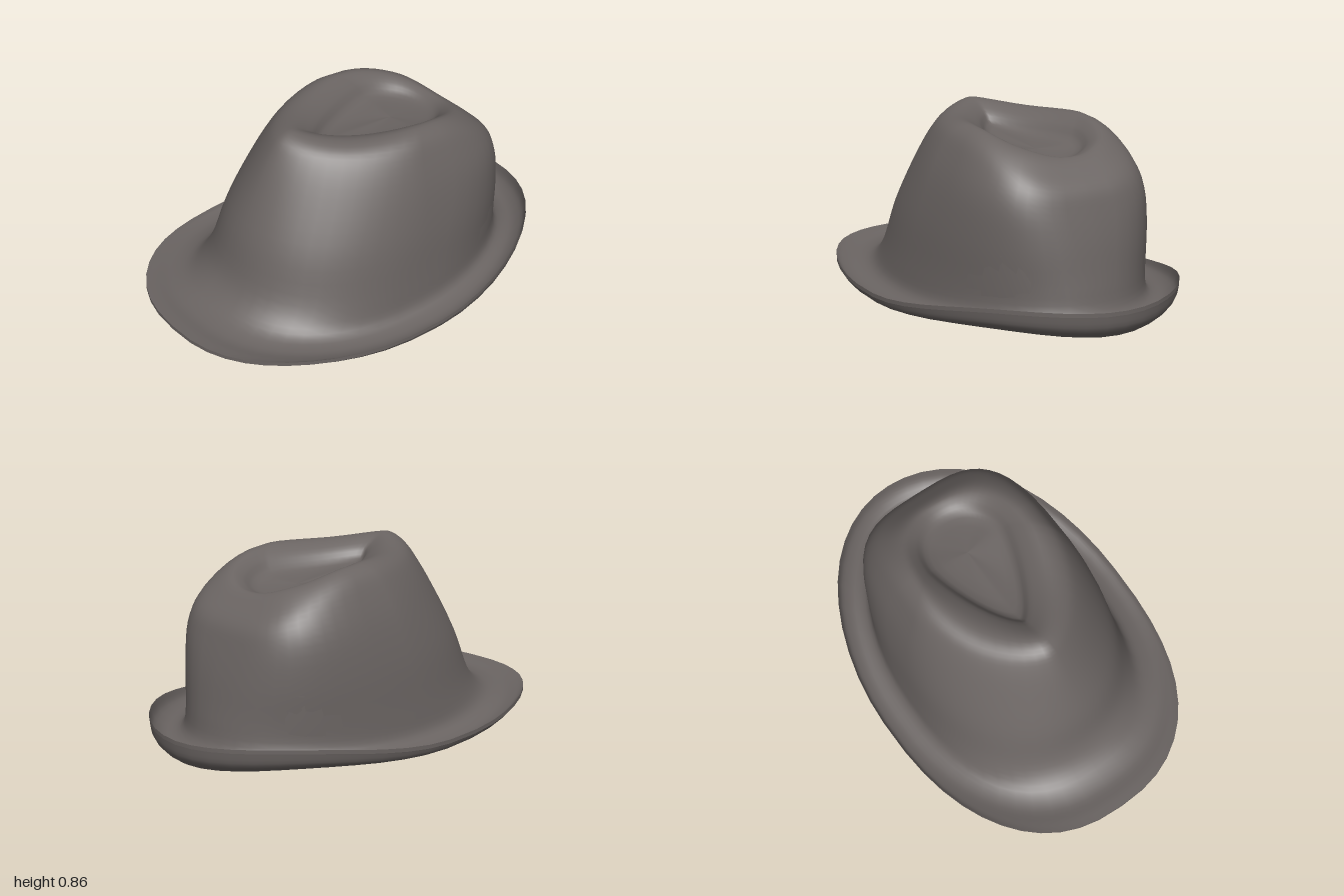
import * as THREE from 'three';

const SEG = 48, SUB = 4, THICK = 0.018;

// Each ring: front z, back z, half width, z of widest point, squareness of front and back halves,
// then heights at front, front quarter, side, back quarter, back.
const RINGS = [
  [0.995, -1.0, 0.695, 0, 2.4, 2, 0.1, 0.1, 0.06, 0.142, 0.135],          // brim edge
  [0.945, -0.984, 0.677, 0, 2.4, 2, 0.095, 0.084, 0.031, 0.085, 0.07],    // rolled brim
  [0.86, -0.92, 0.62, 0, 2.4, 2, 0.085, 0.066, 0.021, 0.05, 0.024],       // brim trough
  [0.76, -0.83, 0.55, 0, 2.4, 2.1, 0.115, 0.09, 0.055, 0.075, 0.07],      // foot of crown
  [0.67, -0.8, 0.528, -0.02, 2.25, 2.2, 0.21, 0.19, 0.16, 0.18, 0.19],
  [0.6, -0.765, 0.5, -0.06, 2.05, 2.6, 0.42, 0.4, 0.38, 0.36, 0.36],
  [0.5, -0.725, 0.457, -0.1, 1.83, 3.1, 0.63, 0.6, 0.57, 0.54, 0.5],
  [0.42, -0.69, 0.405, -0.12, 1.65, 3.2, 0.775, 0.745, 0.71, 0.645, 0.59],
  [0.365, -0.625, 0.355, -0.15, 1.55, 2.9, 0.84, 0.81, 0.795, 0.72, 0.66],
  [0.29, -0.565, 0.288, -0.2, 1.45, 2.5, 0.855, 0.822, 0.824, 0.76, 0.708], // ridge
  [0.19, -0.52, 0.225, -0.26, 1.35, 2.2, 0.8, 0.782, 0.778, 0.738, 0.704],
  [0.1, -0.45, 0.165, -0.28, 1.4, 2, 0.735, 0.72, 0.715, 0.695, 0.685],   // dent floor
  [-0.27, -0.27, 0, -0.27, 2, 2, 0.7, 0.7, 0.7, 0.7, 0.7],
];
const FOOT = 3, RIDGE = 9;

const spline = (a, b, c, d, t) =>
  b + 0.5 * t * (c - a + t * (2 * a - 5 * b + 4 * c - d + t * (3 * (b - c) + d - a)));

// Ring parameters at a fractional position in the table
function ringAt(u) {
  const last = RINGS.length - 1;
  const i = Math.min(Math.floor(u), last - 1);
  const at = (k) => RINGS[Math.max(0, Math.min(last, k))];
  return RINGS[i].map((_, k) => spline(at(i - 1)[k], at(i)[k], at(i + 1)[k], at(i + 2)[k], u - i));
}

function ringPoint(ring, j, drop) {
  const [front, back, width, mid, squareFront, squareBack, ...heights] = ring;
  const angle = (j / SEG) * Math.PI * 2;
  const s = Math.sin(angle), c = Math.cos(angle);
  const p = 2 / (c > 0 ? squareFront : squareBack);
  const x = width * Math.sign(s) * Math.abs(s) ** p;
  const z = mid + (c > 0 ? front - mid : back - mid) * Math.abs(c) ** p;
  // height runs front to back, mirrored on both sides
  const t = (Math.min(j, SEG - j) / (SEG / 2)) * 4;
  const k = Math.min(Math.floor(t), 3);
  const h = (n) => heights[n < 0 ? -n : n > 4 ? 8 - n : n];
  return [x, spline(h(k - 1), h(k), h(k + 1), h(k + 2), t - k) - drop, z];
}

// Surface through a list of [ring position, drop below it]
function loft(stations) {
  const pos = [], index = [];
  stations.forEach(([u, drop], i) => {
    const ring = ringAt(u);
    for (let j = 0; j < SEG; j++) {
      pos.push(...ringPoint(ring, j, drop));
      if (i === stations.length - 1) continue;
      const a = i * SEG + j, b = i * SEG + ((j + 1) % SEG);
      index.push(a, b, a + SEG, b, b + SEG, a + SEG);
    }
  });
  const geo = new THREE.BufferGeometry();
  geo.setAttribute('position', new THREE.Float32BufferAttribute(pos, 3));
  geo.setIndex(index);
  geo.computeVertexNormals();
  return geo;
}

// Part of a loft between two rings, keeping the shared smooth normals
function between(geo, from, to) {
  const part = geo.clone();
  const row = SUB * SEG * 6;
  part.setIndex(Array.from(geo.index.array.slice(from * row, to * row)));
  return part;
}

export function createModel() {
  const felt = new THREE.MeshStandardMaterial({ color: 0x6a6462, side: THREE.DoubleSide });
  felt.name = 'warm grey felt';
  const hat = new THREE.Group();
  hat.name = 'hat';
  const add = (name, geo) => {
    const mesh = new THREE.Mesh(geo, felt);
    mesh.name = name;
    hat.add(mesh);
  };

  // One smooth outer surface, split into brim, crown and top dent
  const top = RINGS.length - 1;
  const shell = loft(Array.from({ length: top * SUB + 1 }, (_, i) => [i / SUB, 0]));
  add('brimTop', between(shell, 0, FOOT));
  add('crown', between(shell, FOOT, RIDGE));
  add('crownDent', between(shell, RIDGE, top));

  // Underside of the brim, reaching a lip inside the crown
  const lip = FOOT + 1, lipDrop = 0.045;
  add('brimUnderside', loft(Array.from({ length: lip * SUB + 1 }, (_, i) => {
    const u = lip - i / SUB;
    return [u, THICK + (lipDrop - THICK) * Math.max(0, (u - 2) / (lip - 2))];
  })));
  // Band from the lip up the inside wall, and the thin outer edge of the brim
  add('innerBand', loft([[lip, lipDrop], [lip + 1, 0.03], [lip + 2, 0.01]]));
  add('brimEdge', loft([[0, THICK], [0, 0]]));
  return hat;
}
